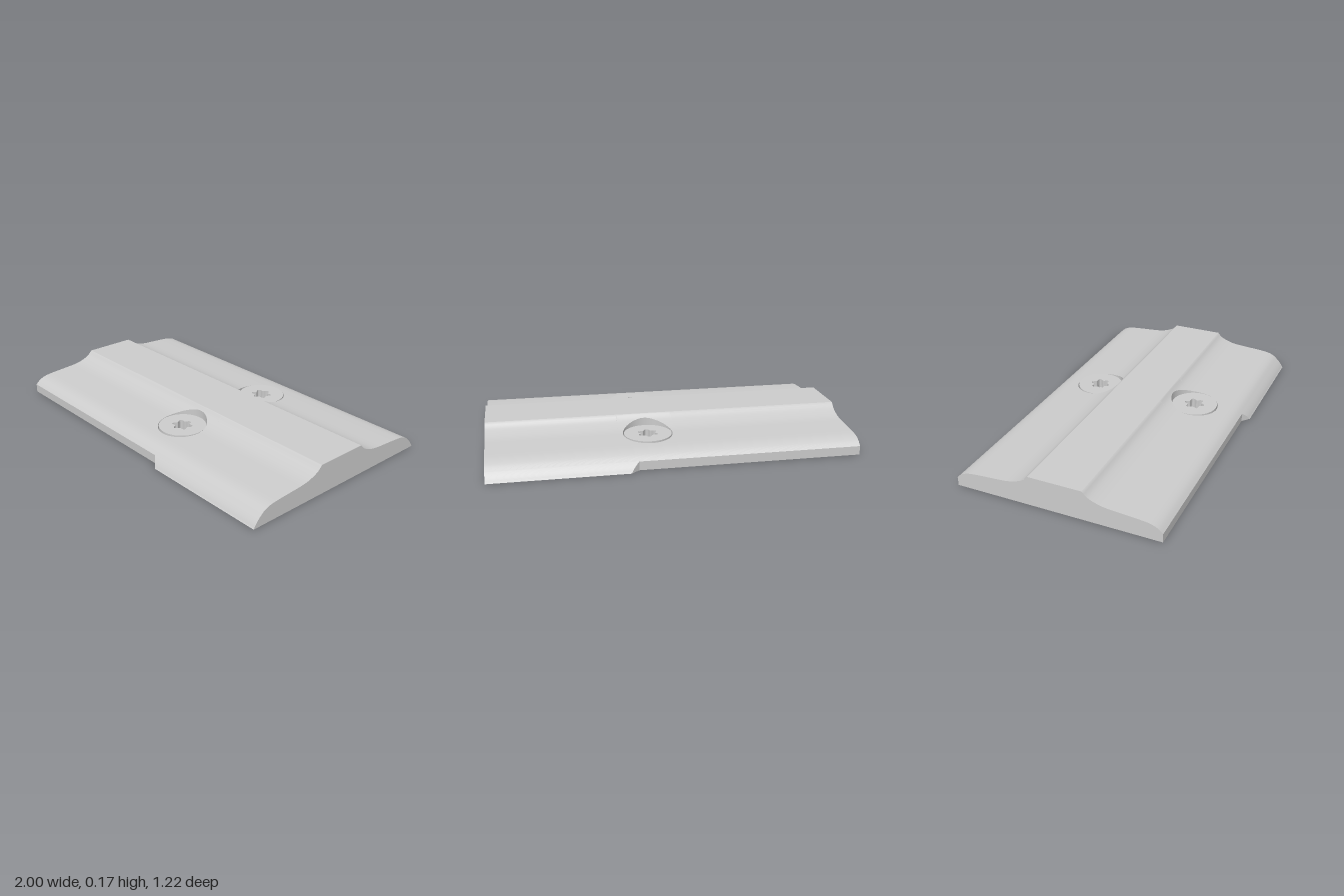
import * as THREE from 'three';
import { mergeGeometries } from 'three/addons/utils/BufferGeometryUtils.js';

const RIDGE_Z = 0.15, RIDGE_Y = 0.168;      // flat centre ridge
const CUT_Z = 0.571, EDGE_Z = 0.608;        // narrow and wide half widths
const STEP_X0 = 0.215, STEP_X1 = 0.26;      // chamfered step between them
const SCREW_X = 0.125, SCREW_Z = 0.306, HOLE_R = 0.136, HEAD_R = 0.131, HEAD_Y = 0.105;
const PATCH = SCREW_Z - RIDGE_Z;            // half size of the square around a hole

// Half cross-section from ridge to outer edge, as (z, y)
const profile = new THREE.SplineCurve([
  [RIDGE_Z, RIDGE_Y], [0.179, 0.14], [0.228, 0.119], [0.28, 0.108], [0.36, 0.102], [0.436, 0.097],
  [0.498, 0.09], [0.54, 0.075], [0.572, 0.048], [0.594, 0.023], [EDGE_Z, 0],
].map(([z, y]) => new THREE.Vector2(z, y))).getPoints(60);

function height(z) {
  let i = 1;
  while (i < profile.length - 1 && profile[i].x < z) i++;
  const a = profile[i - 1], b = profile[i];
  return a.y + (b.y - a.y) * THREE.MathUtils.clamp((z - a.x) / (b.x - a.x), 0, 1);
}

// Grid surface on one side (s = 1 front, -1 back); fn(u, v) gives [x, y, z]
function sheet(s, nu, nv, fn, onTop = false) {
  const pos = [], idx = [], nor = [];
  for (let j = 0; j <= nv; j++) for (let i = 0; i <= nu; i++) {
    const [x, y, z] = fn(i / nu, j / nv);
    pos.push(x, y, z * s);
    const slope = (height(z + 0.004) - height(z - 0.004)) / 0.008;
    const n = new THREE.Vector3(0, 1, -slope * s).normalize();
    nor.push(n.x, n.y, n.z);
    if (i < nu && j < nv) {
      const a = j * (nu + 1) + i, b = a + 1, c = a + nu + 1, d = c + 1;
      if (s > 0) idx.push(a, c, b, b, c, d);
      else idx.push(a, b, c, b, d, c);
    }
  }
  const g = new THREE.BufferGeometry();
  g.setAttribute('position', new THREE.Float32BufferAttribute(pos, 3));
  g.setIndex(idx);
  if (onTop) g.setAttribute('normal', new THREE.Float32BufferAttribute(nor, 3));
  else g.computeVertexNormals();
  return g;
}

const lerp = THREE.MathUtils.lerp;
const stepX = z => lerp(STEP_X0, STEP_X1, (z - CUT_Z) / (EDGE_Z - CUT_Z));

function halfBody(s) {
  const top = (nu, nv, fn) => sheet(s, nu, nv, (u, v) => {
    const [x, z] = fn(u, v);
    return [x, height(z), z];
  }, true);
  const strip = (x0, x1, z0, z1) => top(1, 30, (u, v) => [lerp(x0, x1, u), lerp(z0, z1, v)]);
  const zMid = SCREW_Z + PATCH;
  const ring = (r, a) => [SCREW_X + r * Math.cos(a), SCREW_Z + r * Math.sin(a)];
  return [
    strip(-1, SCREW_X - PATCH, RIDGE_Z, zMid),
    strip(SCREW_X + PATCH, 1, RIDGE_Z, zMid),
    strip(-1, 1, zMid, CUT_Z),
    // wide lip
    top(1, 12, (u, v) => {
      const z = lerp(CUT_Z, EDGE_Z, v);
      return [lerp(stepX(z), 1, u), z];
    }),
    // surface from hole rim to square patch
    top(8, 96, (u, v) => {
      const a = v * Math.PI * 2;
      const outer = PATCH / Math.max(Math.abs(Math.cos(a)), Math.abs(Math.sin(a)));
      return ring(lerp(HOLE_R, outer, u), a);
    }),
    // hole wall
    sheet(s, 1, 96, (u, v) => {
      const [x, z] = ring(HOLE_R, v * Math.PI * 2);
      return [x, u * height(z), z];
    }),
    // narrow side wall and chamfer
    sheet(s, 1, 1, (u, v) => [lerp(-1, STEP_X0, v), u * height(CUT_Z), CUT_Z]),
    sheet(s, 1, 10, (u, v) => {
      const z = lerp(CUT_Z, EDGE_Z, v);
      return [stepX(z), u * height(z), z];
    }),
  ];
}

// End face, cut off at half width w
function endCap(w, side) {
  const half = profile.filter(p => p.x < w).map(p => [p.x, p.y]);
  half.push([w, height(w)]);
  if (height(w) > 0.001) half.push([w, 0]);
  const pts = [...half.map(([z, y]) => [-z, y]).reverse(), ...half];
  const shape = new THREE.Shape(pts.map(([z, y]) => new THREE.Vector2(z, y)));
  return new THREE.ShapeGeometry(shape).rotateY(side * Math.PI / 2).translate(side, 0, 0);
}

function underside() {
  const right = [[-1, CUT_Z], [STEP_X0, CUT_Z], [STEP_X1, EDGE_Z], [1, EDGE_Z]];
  const pts = [...right, ...right.map(([x, z]) => [x, -z]).reverse()];
  const shape = new THREE.Shape(pts.map(([x, z]) => new THREE.Vector2(x, z)));
  for (const s of [1, -1]) {
    shape.holes.push(new THREE.Path().absarc(SCREW_X, s * SCREW_Z, HOLE_R, 0, Math.PI * 2, true));
  }
  return new THREE.ShapeGeometry(shape, 48).rotateX(Math.PI / 2);
}

// Screw with a six-pointed star socket
function makeScrew(material) {
  const g = new THREE.Group();
  const floorY = 0.05;
  const face = new THREE.Shape().absarc(0, 0, HEAD_R, 0, Math.PI * 2, false);
  const star = [];
  for (let i = 0; i < 72; i++) {
    const a = i / 72 * Math.PI * 2;
    const r = 0.049 + 0.009 * Math.cos(6 * (a - Math.PI / 2));
    star.push(new THREE.Vector2(r * Math.cos(a), r * Math.sin(a)));
  }
  face.holes.push(new THREE.Path(star.reverse()));
  const headGeo = new THREE.ExtrudeGeometry(face, { depth: HEAD_Y - floorY, bevelEnabled: false, curveSegments: 48 });
  headGeo.rotateX(-Math.PI / 2).translate(0, floorY, 0);
  const head = new THREE.Mesh(headGeo, material);
  head.name = 'screwHead';
  const shank = new THREE.Mesh(new THREE.CylinderGeometry(HEAD_R, HEAD_R, floorY, 64), material);
  shank.position.y = floorY / 2;
  shank.name = 'screwShank';
  g.add(head, shank);
  return g;
}

export function createModel() {
  const model = new THREE.Group();
  model.name = 'clampPlate';
  const material = new THREE.MeshStandardMaterial({ color: 0xcccccc, side: THREE.DoubleSide });

  const ridge = new THREE.PlaneGeometry(2, RIDGE_Z * 2).rotateX(-Math.PI / 2).translate(0, RIDGE_Y, 0);
  const pieces = [...halfBody(1), ...halfBody(-1), ridge, endCap(EDGE_Z, 1), endCap(CUT_Z, -1), underside()];
  pieces.forEach(p => p.deleteAttribute('uv'));
  const plate = new THREE.Mesh(mergeGeometries(pieces), material);
  plate.name = 'plate';
  model.add(plate);

  for (const s of [1, -1]) {
    const screw = makeScrew(material);
    screw.name = s > 0 ? 'frontScrew' : 'backScrew';
    screw.position.set(SCREW_X, 0, s * SCREW_Z);
    model.add(screw);
  }
  return model;
}
